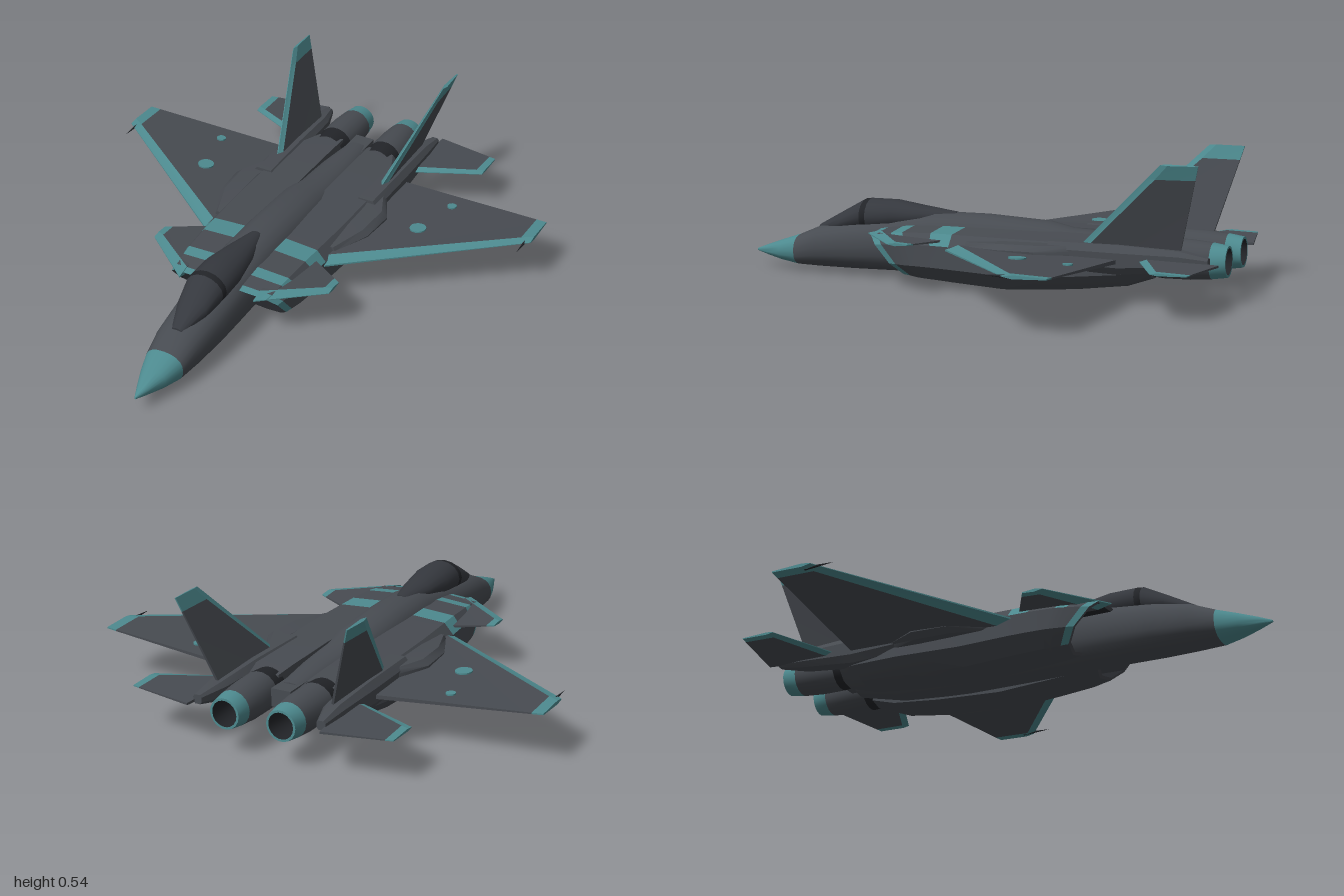
import * as THREE from 'three';
import { toCreasedNormals } from 'three/addons/utils/BufferGeometryUtils.js';

const paint = (name, color) => Object.assign(new THREE.MeshStandardMaterial({ color }), { name });
const V = (x, y, z) => new THREE.Vector3(x, y, z);

export function createModel() {
  const grey = paint('hullGrey', 0x474b51);
  const teal = paint('trimTeal', 0x4d8a8f);
  const dark = paint('ductBlack', 0x222428);
  const glass = paint('canopyGrey', 0x35383e);
  const group = new THREE.Group();

  const fromTriangles = (pts) => new THREE.BufferGeometry().setFromPoints(pts);

  function add(name, geo, mat, crease = 0.6) {
    const mesh = new THREE.Mesh(toCreasedNormals(geo, crease), mat);
    mesh.name = name;
    group.add(mesh);
  }

  // Adds a left part and its mirror image with the winding reversed.
  function addPair(name, geo, mat, crease = 0.6) {
    const flat = geo.index ? geo.toNonIndexed() : geo;
    add(name + 'Left', flat, mat, crease);
    const p = flat.attributes.position, pts = [];
    for (let i = 0; i < p.count; i += 3)
      for (const k of [0, 2, 1]) pts.push(V(-p.getX(i + k), p.getY(i + k), p.getZ(i + k)));
    add(name + 'Right', fromTriangles(pts), mat, crease);
  }

  // Skin over rings running front to back, each counter-clockwise from the front.
  function loft(rings, { keep = () => true, front = true, back = true } = {}) {
    const pts = [], n = rings[0].length;
    for (let i = 0; i + 1 < rings.length; i++)
      for (let j = 0; j < n; j++) {
        if (!keep(i, j)) continue;
        const a = rings[i], b = rings[i + 1], k = (j + 1) % n;
        pts.push(a[j], b[j], b[k], a[j], b[k], a[k]);
      }
    const cap = (ring, flip) => {
      const c = ring.reduce((s, p) => s.add(p), V(0, 0, 0)).divideScalar(n);
      ring.forEach((p, j) => {
        const q = ring[(j + 1) % n];
        pts.push(c, flip ? q : p, flip ? p : q);
      });
    };
    if (front) cap(rings[0], false);
    if (back) cap(rings[rings.length - 1], true);
    return fromTriangles(pts);
  }

  // Rounded section: z, half width, bottom, top.
  const oval = ([z, w, yb, yt], n = 20, power = 0.85) => Array.from({ length: n }, (_, i) => {
    const a = (i / n) * Math.PI * 2, c = Math.cos(a), s = Math.sin(a);
    const f = (v) => Math.sign(v) * Math.abs(v) ** power;
    return V(w * f(c), (yb + yt) / 2 + (yt - yb) / 2 * f(s), z);
  });

  // Slab with its own thickness at every corner.
  function slab(corners) {
    const n = corners.length, normal = V(0, 0, 0);
    for (let i = 0; i < n; i++) normal.add(V(0, 0, 0).crossVectors(corners[i].p, corners[(i + 1) % n].p));
    normal.normalize();
    const up = corners.map((c) => c.p.clone().addScaledVector(normal, c.t / 2));
    const lo = corners.map((c) => c.p.clone().addScaledVector(normal, -c.t / 2));
    const pts = [];
    for (let i = 1; i + 1 < n; i++) pts.push(up[0], up[i], up[i + 1], lo[0], lo[i + 1], lo[i]);
    for (let i = 0; i < n; i++) {
      const j = (i + 1) % n;
      pts.push(lo[i], lo[j], up[j], lo[i], up[j], up[i]);
    }
    return fromTriangles(pts);
  }

  // Lifting surface with a coloured leading edge and tip.
  // Corners: root front, tip front, tip back, root back.
  function foil(name, [rf, tf, tb, rb], thick, edge, tip) {
    const at = (u, v) => {
      const p = rf.clone().lerp(tf, v).lerp(rb.clone().lerp(tb, v), u);
      const seam = THREE.MathUtils.lerp(edge[0], edge[1], v);
      const full = THREE.MathUtils.lerp(thick[0], thick[1], v);
      const t = full * (u <= 0 ? 0.15 : u >= 1 ? 0.35 : 1 - 0.65 * (u - seam) / (1 - seam));
      return { p, t };
    };
    const e = (v) => THREE.MathUtils.lerp(edge[0], edge[1], v);
    const panel = (u0, u1, v0, v1) => slab([at(u0(v0), v0), at(u0(v1), v1), at(u1(v1), v1), at(u1(v0), v0)]);
    const zero = () => 0, one = () => 1;
    addPair(name + 'Panel', panel(e, one, 0, tip), grey, 0.3);
    addPair(name + 'LeadingEdge', panel(zero, e, 0, tip), teal, 0.3);
    addPair(name + 'TipFront', panel(zero, e, tip, 1), teal, 0.3);
    addPair(name + 'TipBack', panel(e, one, tip, 1), teal, 0.3);
  }

  // Nose cone and central fuselage
  const hull = [
    [1, 0.003, 0.062, 0.07], [0.95, 0.025, 0.048, 0.09], [0.88, 0.054, 0.032, 0.115], [0.8, 0.08, 0.02, 0.142],
    [0.7, 0.096, 0.018, 0.185], [0.55, 0.108, 0.018, 0.215], [0.4, 0.11, 0.02, 0.235], [0.2, 0.11, 0.022, 0.265],
    [0, 0.11, 0.022, 0.266], [-0.26, 0.11, 0.025, 0.252], [-0.36, 0.1, 0.03, 0.23], [-0.55, 0.085, 0.045, 0.222],
    [-0.74, 0.06, 0.09, 0.205],
  ].map((s) => oval(s));
  add('noseCone', loft(hull.slice(0, 4), { back: false }), teal);
  add('fuselage', loft(hull.slice(3)), grey);

  // Canopy with a hoop frame
  const canopy = [
    [0.71, 0.025, 0.15, 0.188], [0.6, 0.064, 0.16, 0.25], [0.51, 0.08, 0.17, 0.3], [0.485, 0.081, 0.17, 0.304],
    [0.38, 0.08, 0.18, 0.304], [0.26, 0.062, 0.2, 0.286], [0.12, 0.03, 0.22, 0.268],
  ].map((s) => oval(s, 16, 1));
  add('canopyGlass', loft(canopy, { keep: (i) => i !== 2 }), glass);
  add('canopyFrame', loft(canopy, { keep: (i) => i === 2, front: false, back: false }), dark);

  // Engine trunks: z, outer x, bottom, top, rake of the section
  const outline = [[0, 0.1], [0.35, 0], [0.75, 0.08], [1, 0.35], [0.98, 0.75], [0.8, 0.95], [0, 1]];
  const trunkRing = ([z, xo, yb, yt, rake = 0], inset = 1, inner = 0.06) => outline.map(([u, v]) => {
    const uu = 0.5 + (u - 0.5) * inset, vv = 0.5 + (v - 0.5) * inset;
    const y = yb + (yt - yb) * vv;
    return V(inner + (xo - inner) * uu, y, z + rake * (y - 0.19));
  });
  const lipSection = [0.4, 0.235, 0.028, 0.2, 0.9];
  const trunk = [
    lipSection, [0.365, 0.243, 0.025, 0.206, 0.85], [0.3, 0.253, 0.02, 0.214, 0.65], [0.25, 0.258, 0.018, 0.22, 0.5],
    [0.135, 0.265, 0.014, 0.225, 0.2], [0.05, 0.27, 0.011, 0.225], [-0.15, 0.28, 0, 0.225], [-0.42, 0.28, 0.02, 0.222],
    [-0.62, 0.25, 0.045, 0.22], [-0.72, 0.2, 0.078, 0.216],
  ].map((s) => trunkRing(s));
  const painted = (i, j) => (i === 0 && j >= 2 && j <= 5) || ((i === 2 || i === 4) && (j === 4 || j === 5));
  addPair('engineTrunk', loft(trunk, { keep: (i, j) => !painted(i, j), front: false }), grey);
  addPair('trunkBands', loft(trunk, { keep: painted, front: false, back: false }), teal);

  // Intake lip and duct
  const mouth = trunkRing(lipSection, 0.88);
  const deep = trunkRing([0.12, 0.235, 0.028, 0.2], 0.8);
  addPair('intakeLip', loft([mouth, trunk[0]], { front: false, back: false }), grey);
  addPair('intakeDuct', loft([deep, mouth], { back: false }), dark);

  // Shoulder fairings and tail booms: z, inner x, outer x, bottom, top
  const boxRing = ([z, x0, x1, y0, y1]) => {
    const c = (x1 - x0) * 0.2, d = (y1 - y0) * 0.25;
    return [V(x0 + c, y0, z), V(x1 - c, y0, z), V(x1, y0 + d, z), V(x1, y1 - d, z),
      V(x1 - c, y1, z), V(x0 + c, y1, z), V(x0, y1 - d, z), V(x0, y0 + d, z)];
  };
  addPair('shoulderFairing', loft([
    [-0.02, 0.22, 0.27, 0.13, 0.195], [-0.17, 0.22, 0.335, 0.125, 0.205],
    [-0.32, 0.22, 0.345, 0.125, 0.208], [-0.47, 0.2, 0.27, 0.13, 0.205],
  ].map(boxRing)), grey);
  addPair('tailBoom', loft([
    [-0.35, 0.18, 0.285, 0.12, 0.22], [-0.62, 0.19, 0.285, 0.11, 0.22],
    [-0.85, 0.2, 0.28, 0.135, 0.21], [-0.96, 0.235, 0.27, 0.155, 0.19],
  ].map(boxRing)), grey);

  // Wings, foreplanes, tailplanes and canted fins
  foil('wing', [V(0.2, 0.155, 0.11), V(0.917, 0.201, -0.415), V(0.917, 0.201, -0.575), V(0.2, 0.155, -0.625)],
    [0.048, 0.014], [0.075, 0.22], 0.94);
  foil('foreplane', [V(0.16, 0.188, 0.43), V(0.385, 0.19, 0.25), V(0.385, 0.19, 0.17), V(0.16, 0.188, 0.04)],
    [0.03, 0.012], [0.14, 0.4], 0.88);
  foil('tailplane', [V(0.24, 0.165, -0.69), V(0.532, 0.17, -0.82), V(0.532, 0.17, -0.955), V(0.27, 0.165, -1)],
    [0.024, 0.01], [0.09, 0.2], 0.89);
  foil('fin', [V(0.235, 0.2, -0.46), V(0.345, 0.533, -0.8), V(0.345, 0.533, -0.94), V(0.235, 0.2, -0.85)],
    [0.028, 0.014], [0.07, 0.2], 0.84);

  // Wing tip probes
  const probe = new THREE.ConeGeometry(0.008, 0.12, 8).rotateX(-Math.PI / 2).rotateY(Math.PI);
  probe.rotateY(Math.PI * (probe.attributes.position.getZ(0) > 0 ? 0 : 1));
  addPair('tipProbe', probe.translate(0.893, 0.198, -0.39), dark);

  // Round wing markings: x, y, z, radius
  for (const [x, y, z, r] of [[0.485, 0.187, -0.31, 0.033], [0.535, 0.185, -0.52, 0.019]])
    addPair('wingDisc', new THREE.CylinderGeometry(r, r, 0.0095, 16).rotateX(-0.025).rotateZ(0.045).translate(x, y, z), teal);

  // Engine nozzles: radius and z along the axis
  const ring = (r, z) => Array.from({ length: 18 }, (_, i) => {
    const a = (i / 18) * Math.PI * 2;
    return V(0.115 + r * Math.cos(a), 0.158 + r * Math.sin(a), z);
  });
  const shell = (...rz) => loft(rz.map(([r, z]) => ring(r, z)), { front: false, back: false });
  addPair('nozzleCollar', shell([0.07, -0.69], [0.074, -0.74], [0.076, -0.76]), dark);
  addPair('nozzleBody', shell([0.076, -0.76], [0.075, -0.86], [0.068, -0.94]), grey);
  addPair('nozzlePetals', shell([0.068, -0.94], [0.059, -1], [0.05, -1]), teal);
  addPair('nozzleThroat', loft([ring(0.05, -1), ring(0.045, -0.86)], { front: false }), dark);

  // Beam between the nozzles
  const beam = new THREE.BoxGeometry(0.08, 0.07, 0.12).translate(0, 0.165, -0.745);
  add('tailBeam', beam, grey);
  return group;
}
